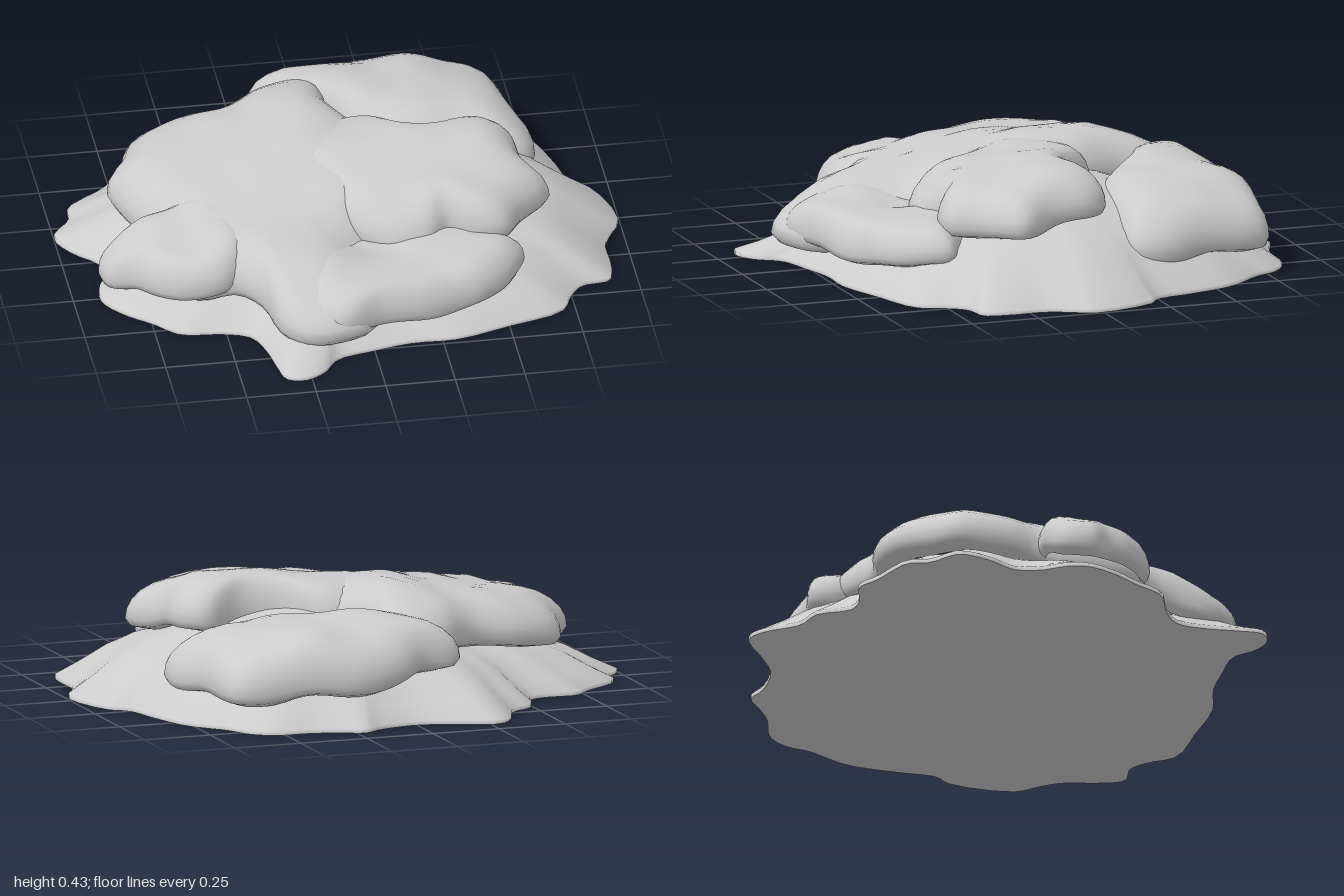
import * as THREE from 'three';

const material = new THREE.MeshStandardMaterial({ color: 0xcccccc });

// Smooth closed outline through flat x,z pairs (ordered +x, -z, -x, +z)
function outline(pairs, count) {
  const pts = [];
  for (let i = 0; i < pairs.length; i += 2) pts.push(new THREE.Vector3(pairs[i], 0, pairs[i + 1]));
  return new THREE.CatmullRomCurve3(pts, true, 'centripetal').getPoints(count).slice(0, count);
}

// Moving average of a closed ring
function soften(ring, reach) {
  const n = ring.length;
  return ring.map((_, i) => {
    const sum = new THREE.Vector3();
    for (let d = -reach; d <= reach; d++) sum.add(ring[(i + d + n) % n]);
    return sum.divideScalar(2 * reach + 1);
  });
}

// Surface from a centre point outward through scaled, inwardly softened copies of an outline
function radialSurface(name, ring, reach, center, scales, height) {
  const n = ring.length;
  const soft = soften(ring, reach);
  const pos = [center[0], height(center[0], center[1], 0, -1), center[1]];
  const index = [];
  scales.forEach((s, k) => {
    ring.forEach((q, i) => {
      const p = q.clone().lerp(soft[i], Math.min(1, (1 - s) * 2));
      const x = center[0] + (p.x - center[0]) * s;
      const z = center[1] + (p.z - center[1]) * s;
      pos.push(x, height(x, z, s, k), z);
      const j = (i + 1) % n;
      const a = 1 + k * n + i, b = 1 + k * n + j;
      if (k === 0) index.push(0, a, b);
      else index.push(a - n, a, b, a - n, b, b - n);
    });
  });
  const geo = new THREE.BufferGeometry();
  geo.setAttribute('position', new THREE.Float32BufferAttribute(pos, 3));
  geo.setIndex(index);
  geo.computeVertexNormals();
  const mesh = new THREE.Mesh(geo, material);
  mesh.name = name;
  return mesh;
}

// Height blended from x,z,y control points by inverse distance
function heightField(c) {
  return (x, z) => {
    let sum = 0, total = 0;
    for (let i = 0; i < c.length; i += 3) {
      const w = 1 / ((x - c[i]) ** 2 + (z - c[i + 1]) ** 2 + 0.008) ** 1.6;
      sum += w * c[i + 2];
      total += w;
    }
    return sum / total;
  };
}

// Pillowy slab: follows its height field, then rolls over and under at the rim
function lobe(name, center, edge, field, thick) {
  const scales = [0.15, 0.3, 0.45, 0.6, 0.72, 0.82, 0.9, 0.96, 0.99, 1, 0.97, 0.86];
  const drop = [0, 0, 0, 0, 0.04, 0.12, 0.26, 0.44, 0.62, 0.82, 0.97, 1.05];
  return radialSurface(name, outline(edge, 80), 4, center, scales,
    (x, z, s, k) => Math.max(0.03, field(x, z) - (k < 0 ? 0 : drop[k] * thick)));
}

export function createModel() {
  const group = new THREE.Group();
  group.name = 'mound';

  // Ragged ground outline
  const ground = outline([
    0.995, 0.03, 0.93, -0.2, 0.87, -0.25, 0.83, -0.4, 0.77, -0.57, 0.66, -0.7, 0.62, -0.78, 0.54, -0.84,
    0.4, -0.85, 0.3, -0.88, 0.22, -0.91, 0.15, -0.87, 0, -0.84, -0.12, -0.87, -0.28, -0.92, -0.34, -0.87,
    -0.4, -0.74, -0.49, -0.68, -0.53, -0.56, -0.6, -0.53, -0.72, -0.53, -0.78, -0.47, -0.92, -0.36,
    -0.93, -0.28, -1, -0.18, -0.95, -0.07, -0.87, 0.02, -0.87, 0.12, -0.9, 0.2, -0.9, 0.28, -0.83, 0.38,
    -0.75, 0.45, -0.66, 0.54, -0.52, 0.56, -0.42, 0.6, -0.38, 0.7, -0.36, 0.82, -0.34, 0.9, -0.28, 0.92,
    -0.2, 0.88, -0.14, 0.8, 0, 0.76, 0.14, 0.73, 0.3, 0.73, 0.5, 0.67, 0.7, 0.6, 0.75, 0.5, 0.8, 0.44,
    0.9, 0.42, 0.92, 0.33, 0.92, 0.2, 0.95, 0.12], 150);

  // Sloping earth mound, steeper on +x and lower at the front
  const rise = [0.33, 0.31, 0.275, 0.235, 0.195, 0.145, 0.075, 0.015, 0];
  group.add(radialSurface('earthMound', ground, 6, [0, 0], [0.2, 0.35, 0.5, 0.63, 0.74, 0.83, 0.92, 1, 1],
    (x, z, s, k) => {
      if (k < 0) return 0.33;
      if (k >= 7) return rise[k];
      const r = Math.hypot(x, z);
      const f = 0.87 + 0.13 * x / r - 0.28 * Math.max(0, z / r);
      return rise[k] * (1 + (f - 1) * Math.min(1, s * 2));
    }));

  // Flat underside
  const base = new THREE.ShapeGeometry(new THREE.Shape(ground.map(p => new THREE.Vector2(p.x, p.z))));
  base.rotateX(Math.PI / 2);
  const underside = new THREE.Mesh(base, material);
  underside.name = 'underside';
  group.add(underside);

  // Heights shared by the layers that flow into each other
  const coverHeight = heightField([
    -0.1, -0.3, 0.43, -0.12, -0.1, 0.42, -0.15, -0.55, 0.38, -0.35, -0.35, 0.37, -0.6, -0.25, 0.345,
    -0.75, -0.3, 0.33, -0.75, 0, 0.32, -0.5, 0.1, 0.34, -0.3, 0, 0.38, -0.85, 0.25, 0.21, -0.65, 0.38, 0.24,
    -0.68, 0.2, 0.28, -0.4, 0.3, 0.3, -0.2, 0.5, 0.28, -0.2, 0.75, 0.23, 0, 0.15, 0.37, 0.06, 0.42, 0.21,
    0, 0.7, 0.23, 0.2, 0, 0.39, 0, -0.5, 0.4, 0.56, 0.44, 0.26, 0.45, 0.58, 0.24, 0.2, 0.6, 0.23,
    0.25, 0.42, 0.25, 0.25, 0.7, 0.21]);

  // Broad top layer on the -x side
  group.add(lobe('mainLayer', [-0.3, 0], [
    0.3, 0, 0.24, -0.15, 0.1, -0.28, 0.03, -0.42, 0.02, -0.58, -0.06, -0.64, -0.2, -0.6, -0.28, -0.53,
    -0.37, -0.48, -0.53, -0.48, -0.7, -0.4, -0.75, -0.28, -0.81, -0.18, -0.79, -0.07, -0.75, 0.03,
    -0.69, 0.13, -0.7, 0.26, -0.66, 0.38, -0.58, 0.47, -0.45, 0.49, -0.37, 0.58,
    -0.33, 0.72, -0.25, 0.8, -0.13, 0.81, 0, 0.75, 0.06, 0.55, 0.1, 0.37, 0.22, 0.18], coverHeight, 0.18));

  // Drooping lobe at the -x edge
  group.add(lobe('cornerLobe', [-0.58, 0.27], [
    -0.4, 0.2, -0.5, 0.1, -0.65, 0.1, -0.8, 0.13, -0.9, 0.2, -0.89, 0.3, -0.8, 0.36, -0.74, 0.43,
    -0.63, 0.49, -0.48, 0.49, -0.38, 0.38], coverHeight, 0.15));

  // Low shelf at the front
  group.add(lobe('frontShelf', [0.15, 0.52], [
    0.59, 0.43, 0.52, 0.37, 0.4, 0.3, 0.12, 0.28, -0.1, 0.38, -0.25, 0.55, -0.24, 0.72, -0.12, 0.79,
    0.03, 0.745, 0.2, 0.72, 0.32, 0.68, 0.42, 0.65, 0.52, 0.57], coverHeight, 0.14));

  // Raised lobe on the +x side
  group.add(lobe('sideLobe', [0.25, 0.08], [
    0.72, 0.2, 0.65, 0.06, 0.63, -0.1, 0.55, -0.17, 0.4, -0.12, 0.25, -0.15, 0.12, -0.27, -0.05, -0.25,
    -0.2, -0.05, -0.09, 0.17, 0, 0.34, 0.12, 0.42, 0.25, 0.42, 0.33, 0.37, 0.42, 0.42, 0.53, 0.42,
    0.6, 0.33], heightField([
    0.3, 0, 0.43, 0.5, 0, 0.435, 0.66, 0.18, 0.38, 0.55, -0.12, 0.42, 0.3, 0.25, 0.39, 0.18, 0.4, 0.33,
    0.05, -0.1, 0.405, 0, 0.15, 0.38, 0.5, 0.3, 0.37, 0.12, -0.25, 0.41, -0.15, -0.1, 0.42]), 0.17));

  // Lower lobe at the back
  group.add(lobe('backLobe', [0.33, -0.53], [
    0.75, -0.33, 0.7, -0.5, 0.66, -0.72, 0.6, -0.77, 0.42, -0.8, 0.2, -0.83, 0.02, -0.78, -0.08, -0.72,
    -0.21, -0.7, -0.22, -0.6, -0.12, -0.5, 0.04, -0.42, 0.12, -0.32, 0.25, -0.24, 0.4, -0.22,
    0.6, -0.2, 0.72, -0.22], heightField([
    0.3, -0.6, 0.345, 0.35, -0.4, 0.34, 0.55, -0.35, 0.32, 0.2, -0.78, 0.29, 0.58, -0.7, 0.27,
    0.1, -0.5, 0.37, 0.7, -0.35, 0.26, 0.55, -0.22, 0.28, 0.2, -0.28, 0.33, -0.15, -0.63, 0.35]), 0.18));

  return group;
}
